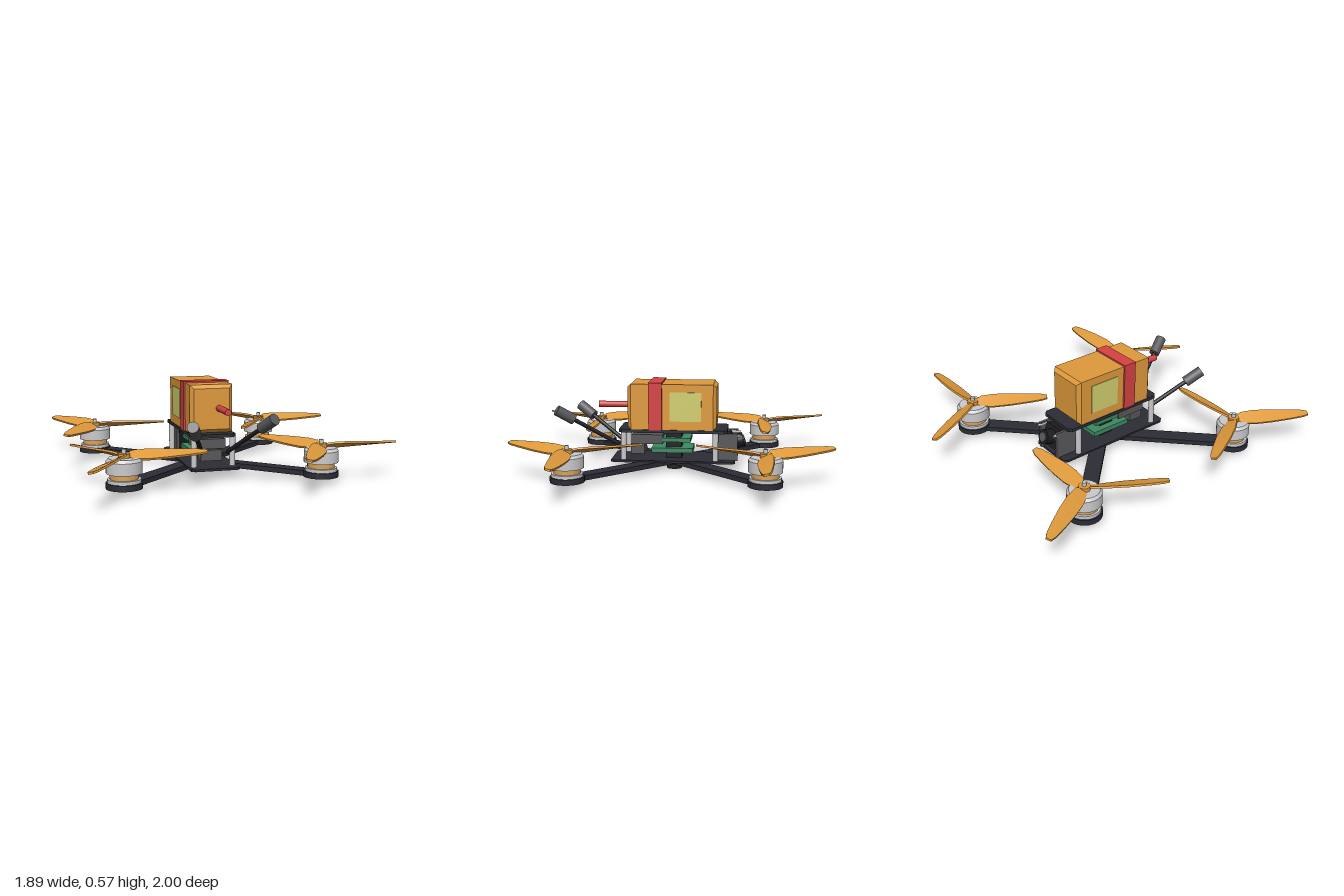
import * as THREE from 'three';

const mat = (name, color) => {
  const m = new THREE.MeshStandardMaterial({ color });
  m.name = name;
  return m;
};

export function createModel() {
  const carbon = mat('carbon', 0x2b2c35), black = mat('black', 0x1e1e21), grey = mat('grey', 0x58585b);
  const silver = mat('silver', 0xcacacd), copper = mat('copper', 0xd9a05a), amber = mat('amber', 0xdf9a3c);
  const red = mat('red', 0xd64242), green = mat('green', 0x3d8a62), labelMat = mat('label', 0xd2d070);

  const root = new THREE.Group();
  root.name = 'quadcopter';
  const body = new THREE.Group();
  body.name = 'body';
  body.position.set(-0.114, 0, -0.004);
  root.add(body);

  const add = (parent, name, geo, m, x = 0, y = 0, z = 0) => {
    const mesh = new THREE.Mesh(geo, m);
    mesh.name = name;
    mesh.position.set(x, y, z);
    parent.add(mesh);
    return mesh;
  };
  const box = (parent, name, m, w, h, d, x, y, z) => add(parent, name, new THREE.BoxGeometry(w, h, d), m, x, y, z);
  // upright cylinder from y0 to y1
  const post = (parent, name, m, r, y0, y1, x = 0, z = 0, rTop = r, n = 32) =>
    add(parent, name, new THREE.CylinderGeometry(rTop, r, y1 - y0, n), m, x, (y0 + y1) / 2, z);
  // cylinder between two points
  const rod = (parent, name, m, r, a, b) => {
    const dir = b.clone().sub(a);
    const mesh = add(parent, name, new THREE.CylinderGeometry(r, r, dir.length(), 20), m);
    mesh.position.copy(a).add(b).multiplyScalar(0.5);
    mesh.quaternion.setFromUnitVectors(new THREE.Vector3(0, 1, 0), dir.normalize());
    return mesh;
  };
  // flat plate with clipped corners
  const plate = (name, w, d, y, h, c) => {
    const s = new THREE.Shape();
    const x = w / 2, z = d / 2;
    [[-x + c, -z], [x - c, -z], [x, -z + c], [x, z - c], [x - c, z], [-x + c, z], [-x, z - c], [-x, -z + c]]
      .forEach(([a, b], i) => (i ? s.lineTo(a, b) : s.moveTo(a, b)));
    const g = new THREE.ExtrudeGeometry(s, { depth: h, bevelEnabled: false });
    g.rotateX(-Math.PI / 2);
    return add(body, name, g, carbon, 0, y, 0);
  };

  // frame plates, standoffs and the centre bolt
  plate('bottomPlate', 0.3, 0.79, 0.06, 0.014, 0.02);
  plate('topPlate', 0.27, 0.69, 0.25, 0.02, 0.02);
  for (const sx of [-1, 1]) for (const z of [0.315, -0.27])
    post(body, 'standoff', silver, 0.018, 0.07, 0.25, sx * 0.119, z, 0.018, 16);
  post(body, 'centreNut', black, 0.05, 0, 0.045);
  post(body, 'centreBolt', black, 0.03, 0.04, 0.1);

  // propeller blade: radius, chord, pitch at each station
  const stations = [
    [0.02, 0.03, 0.5], [0.05, 0.078, 0.48], [0.13, 0.098, 0.42], [0.24, 0.094, 0.34],
    [0.36, 0.074, 0.27], [0.44, 0.054, 0.22], [0.475, 0.03, 0.2]];
  const bladeGeometry = (hand) => {
    const n = stations.length - 1;
    const g = new THREE.BoxGeometry(1, 1, 1, n, 1, 1);
    const p = g.attributes.position;
    for (let i = 0; i < p.count; i++) {
      const [r, chord, pitch] = stations[Math.round((p.getX(i) + 0.5) * n)];
      const c = p.getZ(i) * chord, t = p.getY(i) * 0.012;
      const a = pitch * hand;
      p.setXYZ(i, r, c * Math.sin(a) + t * Math.cos(a), c * Math.cos(a) - t * Math.sin(a));
    }
    g.computeVertexNormals();
    return g;
  };

  // arms, motors and propellers
  for (const sx of [-1, 1]) for (const sz of [-1, 1]) {
    const arm = box(body, 'arm', carbon, 0.82, 0.03, 0.095, sx * 0.291, 0.051, sz * 0.291);
    arm.rotation.y = -Math.atan2(sz, sx);

    const motor = new THREE.Group();
    motor.name = 'motor';
    motor.position.set(sx * 0.582, 0, sz * 0.582);
    body.add(motor);
    post(motor, 'motorPad', carbon, 0.103, 0.036, 0.07);
    post(motor, 'motorBase', silver, 0.094, 0.07, 0.09);
    post(motor, 'windings', copper, 0.08, 0.09, 0.125);
    post(motor, 'motorBell', silver, 0.101, 0.122, 0.19);
    post(motor, 'bellCap', silver, 0.101, 0.19, 0.207, 0, 0, 0.088);
    post(motor, 'propHub', amber, 0.034, 0.205, 0.232, 0, 0, 0.034, 20);
    post(motor, 'shaft', silver, 0.013, 0.2, 0.255, 0, 0, 0.013, 16);
    const geo = bladeGeometry(sx * sz);
    for (let k = 0; k < 3; k++)
      add(motor, 'propBlade', geo, amber, 0, 0.218, 0).rotation.y = k * Math.PI * 2 / 3;
  }

  // battery with bevelled edges, side labels, strap and lead
  const b = 0.022, bw = 0.262, bh = 0.29, bd = 0.565;
  const face = new THREE.Shape();
  face.moveTo(-bw / 2 + b, -bh / 2 + b);
  face.lineTo(bw / 2 - b, -bh / 2 + b);
  face.lineTo(bw / 2 - b, bh / 2 - b);
  face.lineTo(-bw / 2 + b, bh / 2 - b);
  const pack = new THREE.ExtrudeGeometry(face, {
    depth: bd - 2 * b, bevelEnabled: true, bevelThickness: b, bevelSize: b, bevelSegments: 1 });
  pack.translate(0, 0, -bd / 2 + b);
  add(body, 'battery', pack, amber, 0, 0.415, 0.006);
  box(body, 'strap', red, 0.284, 0.302, 0.085, 0, 0.419, 0.111);
  for (const sx of [-1, 1])
    box(body, 'batteryLabel', labelMat, 0.006, 0.185, 0.2, sx * 0.132, 0.418, -0.08);
  rod(body, 'batteryLead', red, 0.02, new THREE.Vector3(0.045, 0.418, 0.27), new THREE.Vector3(0.045, 0.418, 0.482));

  // electronics stack
  box(body, 'lowerBoard', green, 0.185, 0.03, 0.265, 0, 0.13, 0.008);
  box(body, 'upperBoard', green, 0.17, 0.025, 0.235, 0, 0.196, 0.008);
  box(body, 'transmitter', grey, 0.18, 0.06, 0.2, 0, 0.2, 0.168);
  box(body, 'receiver', grey, 0.13, 0.066, 0.09, 0, 0.132, 0.232);
  box(body, 'stackSpacer', black, 0.1, 0.17, 0.1, 0, 0.155, 0);

  // rear camera between side cheeks, lens tilted upward
  for (const sx of [-1, 1]) {
    box(body, 'cameraCheek', grey, 0.016, 0.175, 0.16, sx * 0.082, 0.158, -0.33);
    rod(body, 'cameraPin', silver, 0.008, new THREE.Vector3(sx * 0.08, 0.23, -0.35), new THREE.Vector3(sx * 0.08, 0.23, -0.425));
  }
  box(body, 'cameraBody', black, 0.14, 0.13, 0.11, 0, 0.16, -0.335).rotation.x = 0.35;
  rod(body, 'lensBarrel', black, 0.046, new THREE.Vector3(0, 0.17, -0.36), new THREE.Vector3(0, 0.196, -0.445));
  rod(body, 'lensGlass', grey, 0.03, new THREE.Vector3(0, 0.19, -0.43), new THREE.Vector3(0, 0.198, -0.452));

  // splayed antennas with thick tips
  for (const [base, tip] of [
    [new THREE.Vector3(-0.08, 0.165, 0.35), new THREE.Vector3(-0.21, 0.37, 0.655)],
    [new THREE.Vector3(0.08, 0.165, 0.35), new THREE.Vector3(0.245, 0.405, 0.715)]]) {
    const start = tip.clone().sub(base).setLength(-0.125).add(tip);
    rod(body, 'antennaRod', black, 0.013, base, start);
    rod(body, 'antennaTip', grey, 0.034, start, tip);
  }
  return root;
}
